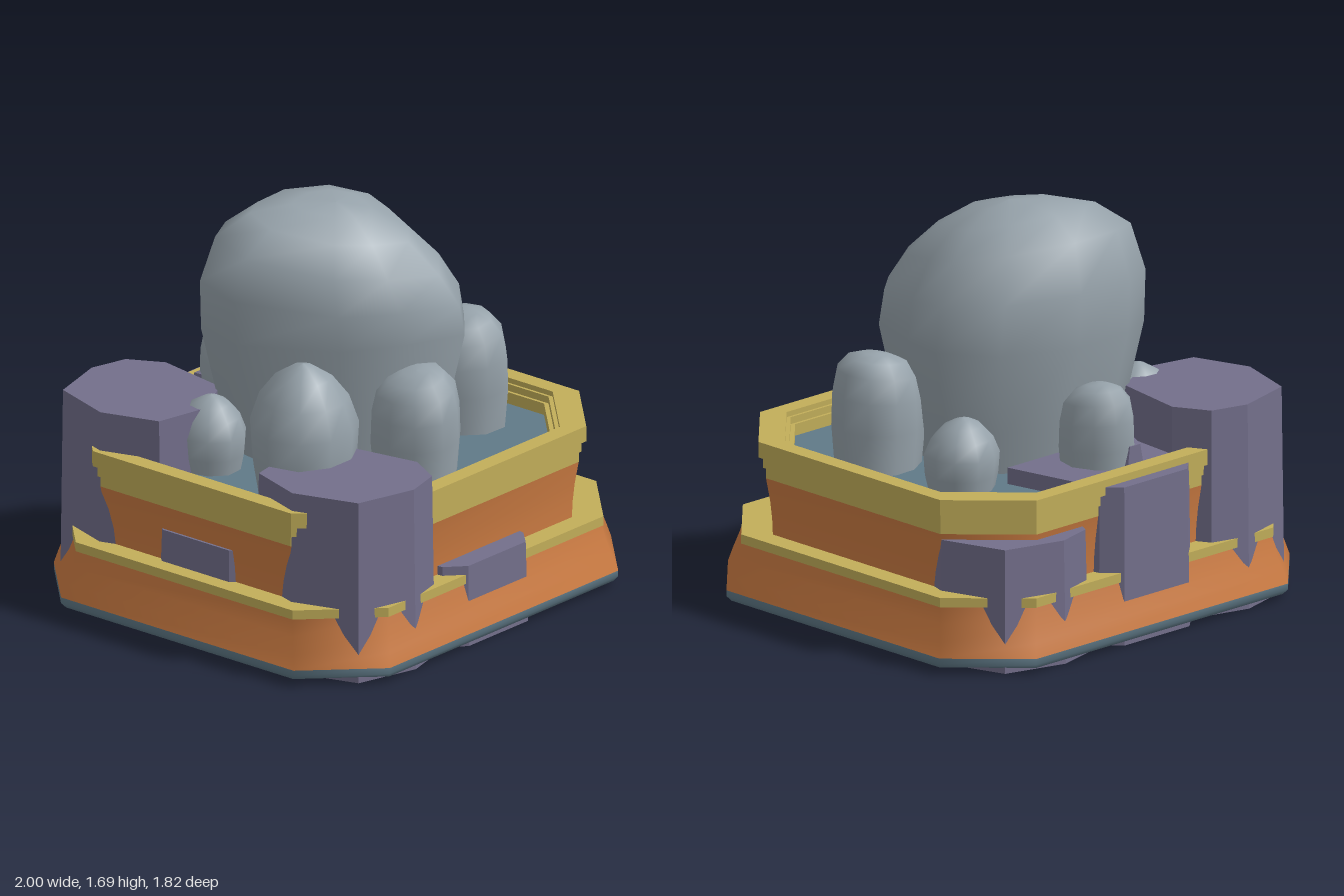
import * as THREE from 'three';

const mat = (name, color) => {
  const m = new THREE.MeshStandardMaterial({ color });
  m.name = name;
  return m;
};

// Skin over cross-sections (each a list of [x, y, z], same length), optionally capped.
function loft(rings, { smooth = false, bottom = false, top = false } = {}) {
  const n = rings[0].length, pos = [], idx = [];
  rings.forEach(r => r.forEach(p => pos.push(...p)));
  for (let k = 0; k < rings.length - 1; k++) {
    for (let i = 0; i < n; i++) {
      const j = (i + 1) % n;
      const a = k * n + i, b = k * n + j, c = a + n, d = b + n;
      idx.push(a, c, b, b, c, d);
    }
  }
  const cap = (ring, up) => {
    const s = pos.length / 3;
    ring.forEach(p => pos.push(...p));
    for (let i = 1; i < n - 1; i++) {
      if (up) idx.push(s, s + i + 1, s + i);
      else idx.push(s, s + i, s + i + 1);
    }
  };
  if (bottom) cap(rings[0], false);
  if (top) cap(rings[rings.length - 1], true);
  let g = new THREE.BufferGeometry();
  g.setAttribute('position', new THREE.Float32BufferAttribute(pos, 3));
  g.setIndex(idx);
  if (!smooth) g = g.toNonIndexed();
  g.computeVertexNormals();
  return g;
}

// Rectangle with cut corners; depth is a little less than width.
function octagon(hx, y) {
  const hz = hx - 0.09, c = 0.28;
  return [[hx, -hz + c], [hx, hz - c], [hx - c, hz], [-hx + c, hz],
    [-hx, hz - c], [-hx, -hz + c], [-hx + c, -hz], [hx - c, -hz]].map(([x, z]) => [x, y, z]);
}
const tier = (profile, opts) => loft(profile.map(([hx, y]) => octagon(hx, y)), opts);

// Upright rock block, slightly wider at its foot.
function block(points, height) {
  const area = points.reduce((s, [x, z], i) => {
    const [u, v] = points[(i + 1) % points.length];
    return s + x * v - u * z;
  }, 0);
  const pts = area > 0 ? points : points.slice().reverse();
  const n = pts.length;
  const cx = pts.reduce((s, p) => s + p[0], 0) / n, cz = pts.reduce((s, p) => s + p[1], 0) / n;
  const ring = (y, s) => pts.map(([x, z]) => [cx + (x - cx) * s, y, cz + (z - cz) * s]);
  return loft([ring(0, 1.035), ring(height, 1)], { bottom: true, top: true });
}

// Rounded boulder: outline scaled per section [y, scale, tiltZ, tiltX, shiftX].
function boulder(outline, cx, cz, sections) {
  return loft(sections.map(([y, s, kz = 0, kx = 0, dx = 0]) =>
    outline.map(([x, z]) => [cx + x * s + dx, y - kz * z * s + kx * x * s, cz + z * s])), { smooth: true });
}

export function createModel() {
  const orange = mat('terracotta', 0xcb7b42);
  const gold = mat('ochre trim', 0xc2ae5a);
  const slate = mat('slate blue', 0x607a88);
  const violet = mat('violet rock', 0x736f8b);
  const grey = mat('grey stone', 0x96a2aa);

  const model = new THREE.Group();
  const add = (name, geometry, material) => {
    const m = new THREE.Mesh(geometry, material);
    m.name = name;
    model.add(m);
    return m;
  };

  // Stepped planter, from the ground up
  add('foot', tier([[0.95, 0.01], [0.985, 0.025], [1, 0.045], [1, 0.07]], { smooth: true, bottom: true }), slate);
  add('lowerWall', tier([[1, 0.07], [0.985, 0.13], [0.965, 0.2], [0.95, 0.275]], { smooth: true }), orange);
  add('lowerTrim', tier([[0.86, 0.272], [0.957, 0.272], [0.957, 0.312], [0.86, 0.312]]), gold);
  add('upperWall', tier([[0.865, 0.31], [0.867, 0.38], [0.873, 0.46], [0.885, 0.555]], { smooth: true }), orange);
  add('upperTrim', tier([[0.87, 0.555], [0.885, 0.555], [0.885, 0.6], [0.893, 0.6], [0.893, 0.645],
    [0.907, 0.645], [0.907, 0.712], [0.83, 0.712], [0.83, 0.69], [0.818, 0.69], [0.818, 0.66],
    [0.805, 0.66], [0.805, 0.59]]), gold);
  add('soil', tier([[0.81, 0.59], [0.81, 0.61]], { top: true }), slate);

  // Rock columns at three corners
  const corner = [[0.8, 0.27], [0.88, 0.52], [0.79, 0.8], [0.525, 0.873], [0.36, 0.83],
    [0.28, 0.68], [0.34, 0.34], [0.55, 0.22]];
  for (const [name, sx, sz, h] of [['frontLeftRock', -1, 1, 0.79], ['backLeftRock', -1, -1, 0.88],
    ['backRightRock', 1, -1, 0.53]]) {
    add(name, block(corner.map(([x, z]) => [x * sx, z * sz]), h), violet);
  }

  // Lower rocks along the middle of each side
  const middle = [[-0.26, 0.8], [-0.18, 0.873], [0.18, 0.873], [0.25, 0.8], [0.34, 0.35], [-0.3, 0.35]];
  add('frontRock', block(middle, 0.35), violet);
  add('backRock', block(middle.map(([x, z]) => [x, -z]), 0.68), violet);
  add('leftSideRock', block(middle.map(([x, z]) => [-z - 0.01, x]), 0.45), violet);
  add('rightSideRock', block(middle.map(([x, z]) => [z - 0.03, x]), 0.22), violet);
  add('centreRock', block([[0.4, -0.4], [0.4, 0.3], [0.3, 0.4], [-0.4, 0.4], [-0.4, -0.4]], 0.3), violet);
  const shard = add('smallRock', new THREE.CylinderGeometry(0.05, 0.11, 0.2, 5).toNonIndexed(), violet);
  shard.geometry.computeVertexNormals();
  shard.position.set(-0.05, 0.68, -0.64);
  shard.rotation.x = -0.2;

  // Large central boulder with a sloping crown
  const bigOutline = [[-0.42, -0.37], [-0.26, -0.44], [0.03, -0.45], [0.35, -0.32], [0.5, -0.09],
    [0.47, 0.11], [0.4, 0.35], [0.235, 0.495], [-0.02, 0.39], [-0.25, 0.24], [-0.47, -0.14]];
  add('centralBoulder', boulder(bigOutline, 0, 0, [[0.58, 0.74], [0.8, 0.86], [1.15, 1], [1.33, 0.985, 0.1, 0, -0.02],
    [1.5, 0.85, 0.2, 0, -0.04], [1.61, 0.6, 0.22, 0, -0.03], [1.67, 0.3, 0.15, 0, -0.02], [1.68, 0]]), grey);

  // Ring of small boulders: name, x, z, radiusX, radiusZ, top, tiltX, tiltZ, blunt crown
  const small = [
    ['frontLeftBoulder', -0.5, 0.25, 0.225, 0.23, 1.18, 0, 0, false],
    ['frontBoulder', -0.005, 0.44, 0.185, 0.2, 1.05, 0.2, 0, true],
    ['frontRightBoulder', 0.54, 0.22, 0.195, 0.2, 1.09, 0.15, 0, true],
    ['rightBoulder', 0.5, -0.25, 0.165, 0.15, 0.91, 0, 0, false],
    ['backBoulder', 0, -0.53, 0.15, 0.17, 1.01, 0, 0.12, true],
    ['leftBoulder', -0.51, -0.24, 0.155, 0.155, 0.92, 0, 0, false],
  ];
  small.forEach(([name, x, z, rx, rz, top, kx, kz, blunt], k) => {
    const outline = [];
    for (let i = 0; i < 10; i++) {
      const a = i / 10 * Math.PI * 2, w = 1 + 0.05 * Math.sin(a * 3 + k * 1.7);
      outline.push([Math.cos(a) * rx * w, Math.sin(a) * rz * w]);
    }
    const profile = blunt
      ? [[0, 0.9], [0.4, 0.99], [0.65, 0.97], [0.84, 0.87], [0.95, 0.62], [0.995, 0.3], [1, 0]]
      : [[0, 0.82], [0.3, 0.96], [0.55, 1], [0.75, 0.82], [0.9, 0.52], [0.98, 0.2], [1, 0]];
    add(name, boulder(outline, x, z, profile.map(([t, s]) =>
      [0.57 + t * (top - 0.57), s, kz * t, kx * t])), grey);
  });

  return model;
}
